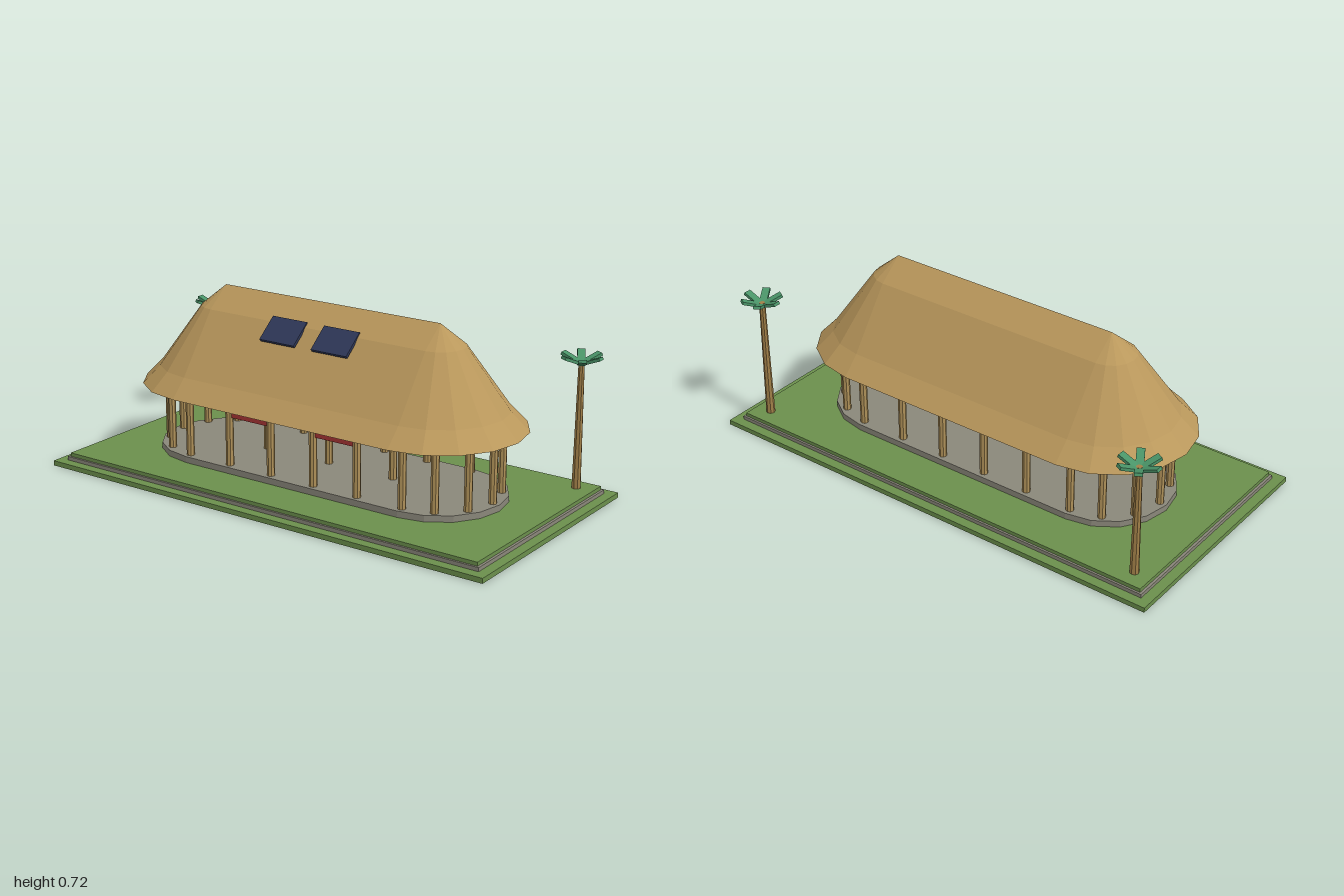
import * as THREE from 'three';

const mat = (name, color) => {
  const m = new THREE.MeshStandardMaterial({ color, flatShading: true });
  m.name = name;
  return m;
};

// Loft of stadium-shaped rings: straight of half length L, round ends of radius r.
// A ring with r = 0 collapses to a line, which closes the solid.
function stadiumLoft(profile, L = 0.5, seg = 8) {
  const ring = 2 * (seg + 1), pos = [], index = [];
  for (const [r, y] of profile) {
    for (const side of [1, -1]) {
      for (let i = 0; i <= seg; i++) {
        const a = -Math.PI / 2 + (Math.PI * i) / seg;
        pos.push(side * (L + r * Math.cos(a)), y, side * r * Math.sin(a));
      }
    }
  }
  for (let k = 0; k < profile.length - 1; k++) {
    for (let i = 0; i < ring; i++) {
      const a = k * ring + i, b = k * ring + (i + 1) % ring;
      index.push(a, a + ring, b, b, a + ring, b + ring);
    }
  }
  const g = new THREE.BufferGeometry();
  g.setAttribute('position', new THREE.Float32BufferAttribute(pos, 3));
  g.setIndex(index);
  const flat = g.toNonIndexed();
  flat.computeVertexNormals();
  return flat;
}

export function createModel() {
  const model = new THREE.Group();
  model.name = 'thatchedLonghouse';

  const grass = mat('grass', 0x6b8f4c);
  const stone = mat('stone', 0x8a877a);
  const thatch = mat('thatch', 0xba985c);
  const wood = mat('postWood', 0xae9058);
  const bark = mat('bark', 0xa07f48);
  const leaf = mat('palmLeaf', 0x4a9468);
  const red = mat('redCloth', 0xa83434);
  const panel = mat('panelBlue', 0x2e3757);

  const add = (name, geo, material, x = 0, y = 0, z = 0, parent = model) => {
    const m = new THREE.Mesh(geo, material);
    m.name = name;
    m.position.set(x, y, z);
    parent.add(m);
    return m;
  };

  // Stepped ground
  add('ground', new THREE.BoxGeometry(2, 0.02, 1), grass, 0, 0.01, 0);
  add('stoneStep', new THREE.BoxGeometry(1.92, 0.015, 0.92), stone, 0, 0.0275, 0);
  add('lawn', new THREE.BoxGeometry(1.9, 0.015, 0.904), grass, 0, 0.0425, 0);

  // Rounded plinth and thatched roof
  add('plinth', stadiumLoft([[0, 0.05], [0.27, 0.05], [0.27, 0.075], [0, 0.075]]), stone);
  add('roof', stadiumLoft([[0, 0.328], [0.34, 0.328], [0.27, 0.4], [0.1, 0.638], [0, 0.72]]), thatch);

  // Posts: long sides, rounded ends and the middle row
  const spots = [[-0.3, 0], [0, 0], [0.3, 0]];
  for (const s of [1, -1]) {
    for (const x of [0.1, 0.3, 0.5]) spots.push([s * x, 0.24], [s * x, -0.24]);
    for (const deg of [-60, -30, 0, 30, 60]) {
      const a = THREE.MathUtils.degToRad(deg);
      spots.push([s * (0.5 + 0.24 * Math.cos(a)), 0.24 * Math.sin(a)]);
    }
  }
  const postGeo = new THREE.CylinderGeometry(0.016, 0.016, 0.255, 8);
  for (const [x, z] of spots) add('post', postGeo, wood, x, 0.2025, z);

  // Red hangings between the posts, and roof panels
  const clothGeo = new THREE.BoxGeometry(0.175, 0.048, 0.01);
  const panelGeo = new THREE.BoxGeometry(0.162, 0.012, 0.114);
  for (const s of [1, -1]) {
    for (const z of [0.24, -0.24]) add('hanging', clothGeo, red, s * 0.2, 0.295, z);
    add('roofPanel', panelGeo, panel, s * 0.121, 0.615, 0.125).rotation.x = 0.7;
  }

  // Palm trees with six raised leaves
  const leafGeo = new THREE.BoxGeometry(0.086, 0.012, 0.03).translate(0.043, 0, 0);
  for (const [x, top] of [[0.88, 0.552], [-0.88, 0.5]]) {
    const palm = new THREE.Group();
    palm.name = 'palmTree';
    palm.position.set(x, 0, -0.383);
    model.add(palm);
    const h = top - 0.05;
    add('trunk', new THREE.CylinderGeometry(0.012, 0.018, h, 8), bark, 0, 0.05 + h / 2, 0, palm);
    for (let i = 0; i < 6; i++) {
      const l = add('leaf', leafGeo, leaf, 0, top - 0.012, 0, palm);
      l.rotation.set(0, (i * Math.PI) / 3, 0.38);
    }
  }
  return model;
}
